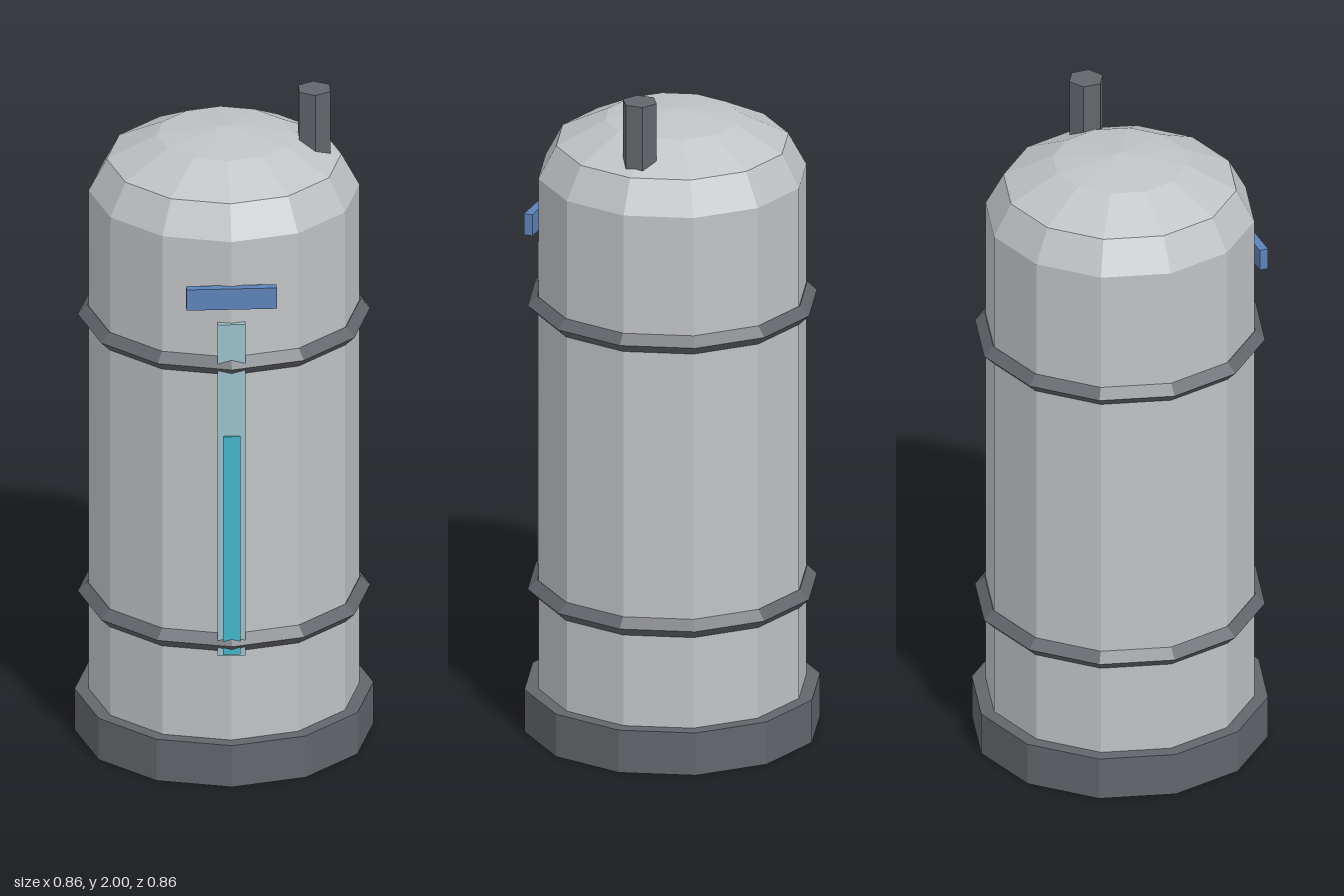
import * as THREE from 'three';

const SIDES = 12;
const flat = (name, color) => {
  const m = new THREE.MeshStandardMaterial({ color, flatShading: true });
  m.name = name;
  return m;
};

export function createModel() {
  const group = new THREE.Group();
  const shell = flat('pale grey shell', 0xc0c2c4);
  const dark = flat('dark grey metal', 0x63656b);
  const glass = flat('pale gauge glass', 0x9cc0ca);
  const liquid = flat('teal liquid', 0x45b5cb);
  const blue = flat('blue plate', 0x5c82b8);

  const add = (name, geometry, material, x = 0, y = 0, z = 0) => {
    const mesh = new THREE.Mesh(geometry, material);
    mesh.name = name;
    mesh.position.set(x, y, z);
    group.add(mesh);
    return mesh;
  };

  // Plinth under the tank
  add('base', new THREE.CylinderGeometry(0.43, 0.43, 0.13, SIDES), dark, 0, 0.065, 0);

  // Straight wall and flattened dome in one faceted profile
  const radius = 0.39, shoulder = 1.695, rise = 0.195;
  const profile = [new THREE.Vector2(radius, 0.12)];
  for (let i = 0; i <= 3; i++) {
    const a = (i * Math.PI) / 6;
    profile.push(new THREE.Vector2(i === 3 ? 0 : radius * Math.cos(a), shoulder + rise * Math.sin(a)));
  }
  add('tank', new THREE.LatheGeometry(profile, SIDES), shell);

  // Diamond-section hoops
  for (const [name, y] of [['lowerHoop', 0.437], ['upperHoop', 1.307]]) {
    const hoop = new THREE.TorusGeometry(0.393, 0.028, 4, SIDES).rotateX(Math.PI / 2);
    add(name, hoop, dark, 0, y, 0);
  }

  // Vent pipe rising off the dome
  add('ventPipe', new THREE.CylinderGeometry(0.052, 0.052, 0.22, 6), dark, 0.26, 1.89, 0);

  // Level gauge and plate on the front
  add('gaugeGlass', new THREE.BoxGeometry(0.08, 1.04, 0.03), glass, 0, 0.92, 0.385);
  add('gaugeLiquid', new THREE.BoxGeometry(0.05, 0.685, 0.03), liquid, 0, 0.7475, 0.39);
  add('frontPlate', new THREE.BoxGeometry(0.26, 0.065, 0.026), blue, 0, 1.523, 0.394);

  return group;
}
